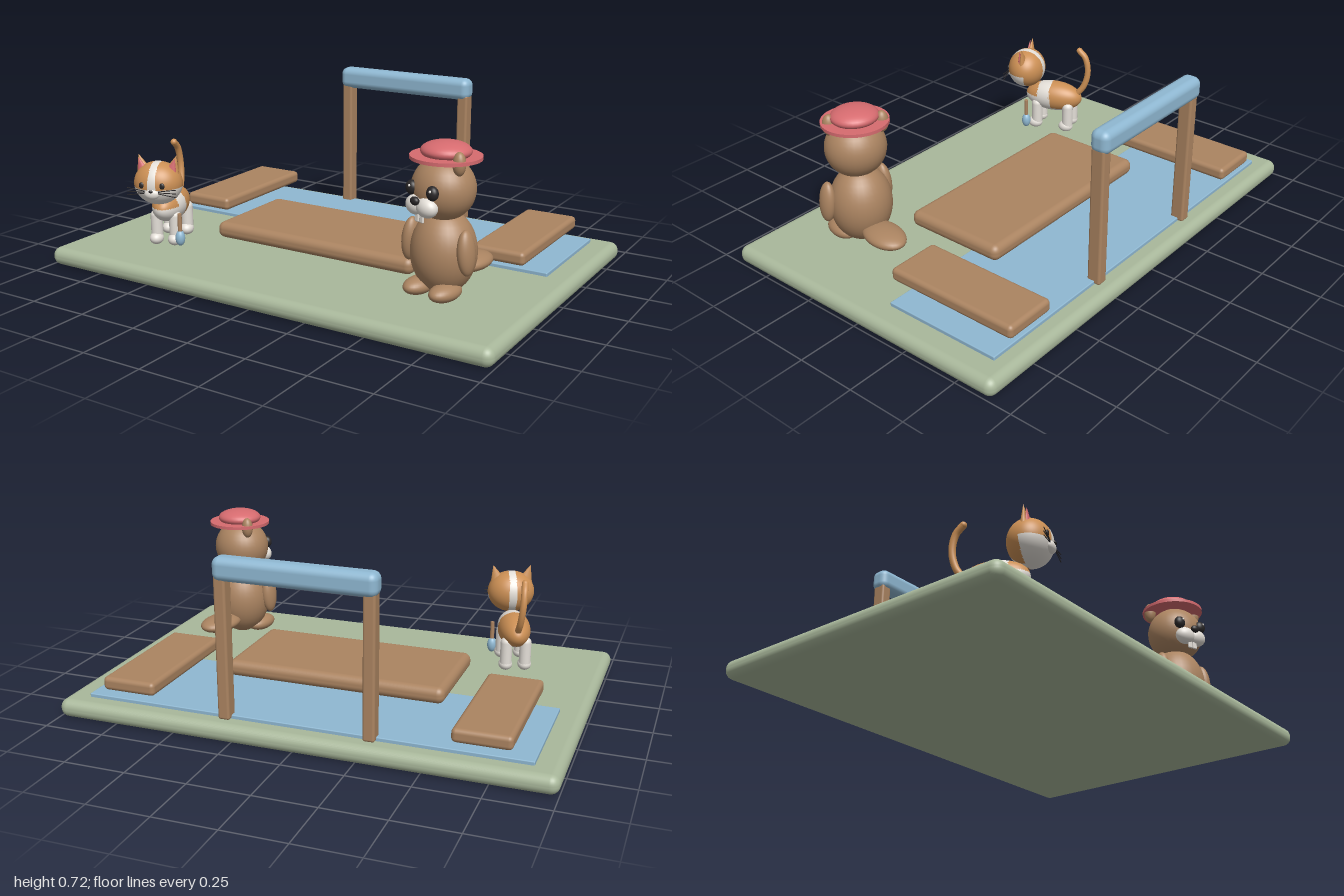
import * as THREE from 'three';
import { RoundedBoxGeometry } from 'three/addons/geometries/RoundedBoxGeometry.js';

const mat = (name, color) => Object.assign(new THREE.MeshStandardMaterial({ color }), { name });

export function createModel() {
  const sage = mat('sage', 0xa9b89b), blue = mat('pale blue', 0x8fb8d2), wood = mat('wood brown', 0xab8461);
  const orange = mat('ginger', 0xcb8f54), white = mat('off white', 0xe4dfd8), red = mat('soft red', 0xd66b6f);
  const black = mat('near black', 0x2a2728);

  const add = (parent, name, geo, material, x, y, z) => {
    const m = new THREE.Mesh(geo, material);
    m.name = name;
    m.position.set(x, y, z);
    parent.add(m);
    return m;
  };
  const group = (parent, name, x, y, z, yaw = 0) => {
    const g = new THREE.Group();
    g.name = name;
    g.position.set(x, y, z);
    g.rotation.y = THREE.MathUtils.degToRad(yaw);
    parent.add(g);
    return g;
  };
  // Rounded box given by its limits on each axis
  const slab = (parent, name, material, x0, x1, y0, y1, z0, z1, r) =>
    add(parent, name, new RoundedBoxGeometry(x1 - x0, y1 - y0, z1 - z0, 4, r), material,
      (x0 + x1) / 2, (y0 + y1) / 2, (z0 + z1) / 2);
  const ball = (parent, name, material, x, y, z, rx, ry = rx, rz = rx) =>
    add(parent, name, new THREE.SphereGeometry(1, 32, 20).scale(rx, ry, rz), material, x, y, z);

  // Ellipsoid in two colours: faces whose unit-sphere centre passes the rule take the second
  const patchedBall = (parent, name, materials, rule, x, y, z, rx, ry, rz) => {
    const src = new THREE.SphereGeometry(1, 72, 48).toNonIndexed();
    const p = src.attributes.position, n = src.attributes.normal;
    const sets = [{ p: [], n: [] }, { p: [], n: [] }];
    const c = new THREE.Vector3();
    for (let i = 0; i < p.count; i += 3) {
      c.set(0, 0, 0);
      for (let k = 0; k < 3; k++) c.add(new THREE.Vector3().fromBufferAttribute(p, i + k));
      const s = sets[rule(c.divideScalar(3)) ? 1 : 0];
      for (let k = 0; k < 9; k++) {
        s.p.push(p.array[i * 3 + k]);
        s.n.push(n.array[i * 3 + k]);
      }
    }
    const geo = new THREE.BufferGeometry();
    geo.setAttribute('position', new THREE.Float32BufferAttribute([...sets[0].p, ...sets[1].p], 3));
    geo.setAttribute('normal', new THREE.Float32BufferAttribute([...sets[0].n, ...sets[1].n], 3));
    const first = sets[0].p.length / 3;
    geo.addGroup(0, first, 0);
    geo.addGroup(first, sets[1].p.length / 3, 1);
    geo.scale(rx, ry, rz);
    return add(parent, name, geo, materials, x, y, z);
  };

  const model = new THREE.Group();
  model.name = 'riverside scene';

  // Ground, pond and wooden decks
  slab(model, 'ground', sage, -1, 1, 0, 0.075, -0.665, 0.665, 0.035);
  slab(model, 'pond', blue, -0.9, 0.895, 0.07, 0.09, -0.59, -0.09, 0.004);
  slab(model, 'deck', wood, -0.468, 0.465, 0.088, 0.157, -0.23, 0.223, 0.03);
  for (const s of [-1, 1]) {
    slab(model, 'sidePlank', wood, s * 0.71 - 0.113, s * 0.71 + 0.113, 0.12, 0.175, -0.605, 0.03 - 0.055, 0.018);
    slab(model, 'gatePost', wood, s * 0.292 - 0.024, s * 0.292 + 0.024, 0.075, 0.65, -0.613, -0.555, 0.01);
  }
  slab(model, 'gateBeam', blue, -0.324, 0.32, 0.627, 0.72, -0.626, -0.545, 0.03);

  // Cat: body, head, legs and tail
  const cat = group(model, 'cat', -0.62, 0.075, 0.33, 20);
  patchedBall(cat, 'catBody', [orange, white],
    (c) => (c.z > 0.05 && c.z < 0.5) || (c.z > 0 && c.y < 0.1) || c.y < -0.65,
    0, 0.17, 0, 0.068, 0.07, 0.135);
  for (const x of [-0.04, 0.04]) for (const z of [-0.08, 0.07]) {
    add(cat, 'catLeg', new THREE.CapsuleGeometry(0.025, 0.09, 6, 16), white, x, 0.09, z);
    ball(cat, 'catPaw', white, x, 0.038, z + 0.008, 0.029, 0.026, 0.034);
  }
  const tailCurve = new THREE.CatmullRomCurve3([
    [0, 0.19, -0.11], [-0.004, 0.24, -0.145], [-0.01, 0.31, -0.16], [-0.015, 0.375, -0.145], [-0.02, 0.405, -0.115],
  ].map((a) => new THREE.Vector3(...a)));
  add(cat, 'catTail', new THREE.TubeGeometry(tailCurve, 32, 0.014, 12), orange, 0, 0, 0);
  ball(cat, 'catTailTip', orange, -0.02, 0.405, -0.115, 0.014);

  const R = [0.1, 0.089, 0.085];
  const catHead = group(cat, 'catHead', 0, 0.295, 0.135);
  patchedBall(catHead, 'catFace', [orange, white],
    (c) => Math.abs(c.x) < 0.15 || (c.z > -0.15 && c.y < -0.12), 0, 0, 0, ...R);
  const faceZ = (x, y) => R[2] * Math.sqrt(1 - (x / R[0]) ** 2 - (y / R[1]) ** 2);
  ball(catHead, 'catMuzzle', white, 0, -0.028, 0.076, 0.032, 0.022, 0.018);
  ball(catHead, 'catNose', black, 0, -0.014, 0.092, 0.009, 0.006, 0.006);
  for (const s of [-1, 1]) {
    // Ears with a coloured inner cone at the front
    const ear = group(catHead, 'catEar', s * 0.068, 0.076, 0);
    ear.rotation.z = -s * 0.3;
    add(ear, 'earOuter', new THREE.ConeGeometry(0.037, 0.085, 20).scale(1, 1, 0.55), orange, 0, 0, 0);
    add(ear, 'earInner', new THREE.ConeGeometry(0.026, 0.066, 20).scale(1, 1, 0.5), red, 0, -0.002, 0.011);
    ball(catHead, 'catEye', black, s * 0.043, 0.006, faceZ(0.043, 0.006), 0.011, 0.013, 0.006);
    for (const k of [-1, 0, 1]) {
      const whisker = add(catHead, 'whisker', new THREE.CylinderGeometry(0.0018, 0.0018, 0.075, 6),
        black, s * 0.066, -0.02 + k * 0.01, 0.082);
      whisker.rotation.z = Math.PI / 2 + s * k * 0.15;
    }
  }

  // Small upright brush beside the cat
  const brush = group(cat, 'brush', 0.076, 0, 0.113);
  add(brush, 'brushHandle', new THREE.CylinderGeometry(0.009, 0.009, 0.09, 12), wood, 0, 0.115, 0);
  ball(brush, 'brushTip', blue, 0, 0.056, 0, 0.02, 0.033, 0.02);

  // Beaver: body, arms, feet and flat tail
  const beaver = group(model, 'beaver', 0.645, 0, 0.31, -12);
  ball(beaver, 'beaverBody', wood, 0, 0.255, 0, 0.125, 0.16, 0.122);
  for (const s of [-1, 1]) {
    const arm = ball(beaver, 'beaverArm', wood, s * 0.128, 0.283, 0.035, 0.03, 0.085, 0.04);
    arm.rotation.z = s * 0.08;
    ball(beaver, 'beaverFoot', wood, s * 0.06, 0.126, 0.062, 0.048, 0.034, 0.078);
  }
  ball(beaver, 'beaverTail', wood, 0, 0.175, -0.16, 0.073, 0.035, 0.112);

  // Beaver head with snout, teeth, eyes and ears
  const head = group(beaver, 'beaverHead', 0, 0.495, 0.01, -9);
  ball(head, 'headBall', wood, 0, 0, 0, 0.122, 0.118, 0.116);
  ball(head, 'nose', black, 0, -0.025, 0.137, 0.02, 0.016, 0.014);
  const ears = group(head, 'ears', 0, 0.108, -0.018, -20);
  for (const s of [-1, 1]) {
    ball(head, 'snoutCheek', white, s * 0.028, -0.05, 0.104, 0.046, 0.037, 0.034);
    slab(head, 'tooth', white, s * 0.012 - 0.01, s * 0.012 + 0.01, -0.108, -0.07, 0.108, 0.118, 0.004);
    ball(head, 'eye', black, s * 0.055, 0.008, 0.104, 0.025, 0.027, 0.02);
    ball(head, 'eyeGlint', white, s * 0.055 + 0.006, 0.018, 0.121, 0.005);
    ball(ears, 'ear', wood, s * 0.1, 0, 0, 0.026, 0.044, 0.024);
  }

  // Hat
  const hat = group(beaver, 'hat', 0, 0.609, 0);
  add(hat, 'hatBrim', new THREE.CylinderGeometry(0.132, 0.132, 0.013, 40), red, 0, 0, 0);
  ball(hat, 'hatCrown', red, 0, 0.022, 0, 0.095, 0.037, 0.092);

  return model;
}
